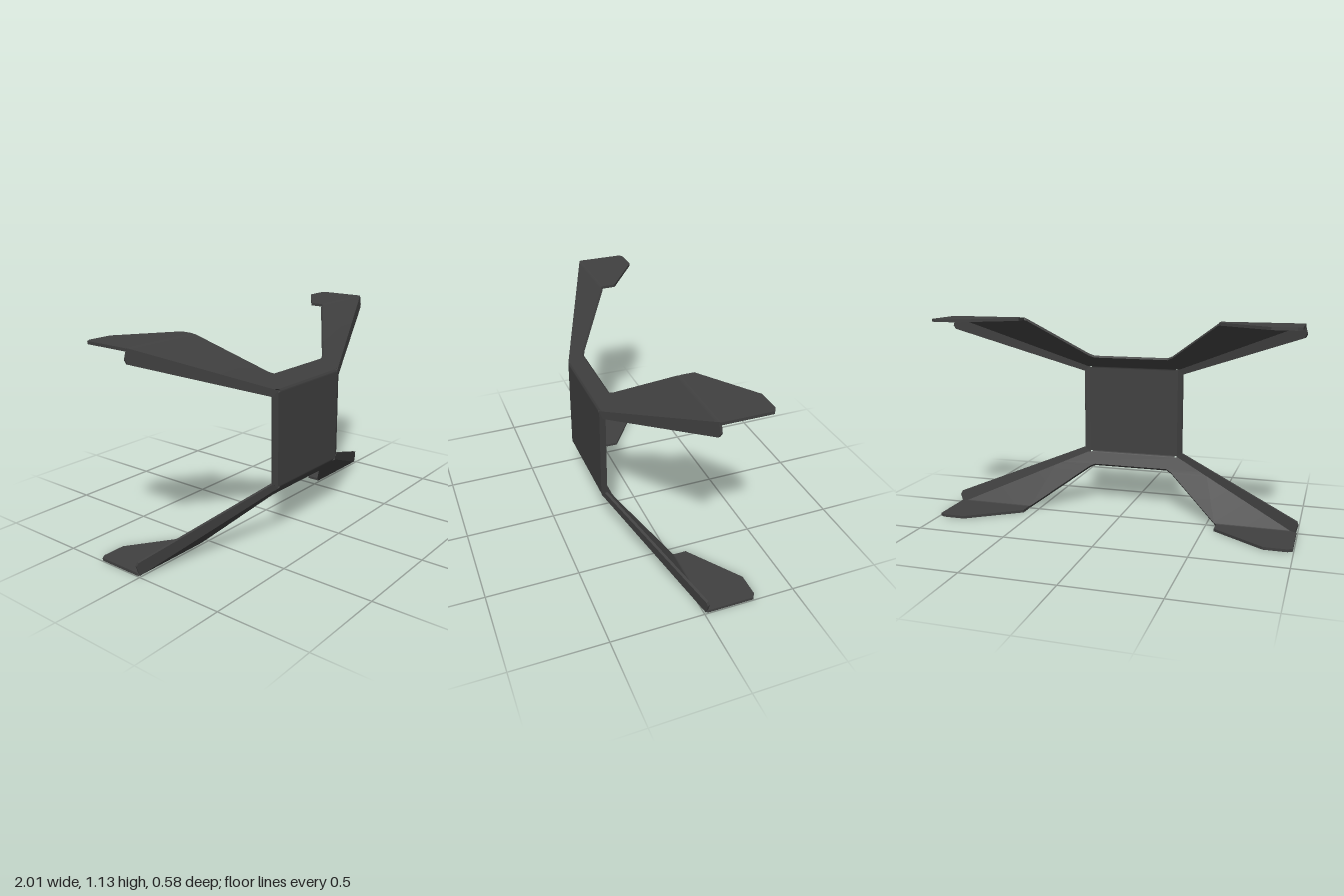
import * as THREE from 'three';
import { toCreasedNormals } from 'three/addons/utils/BufferGeometryUtils.js';

const T = 0.015;                 // sheet thickness
const R = 0.03;                  // bend radius
const CUT = R * Math.tan(Math.PI / 8);
const MID = 0.565;               // height of the centre line
const FRONT = 0.29;
const S1 = 0.265, S2 = S1 + 0.3 * Math.SQRT2, S3 = S2 + 0.28; // bends and end, along the sheet
const Q = Math.PI / 4;

// Outer surface of the bent sheet at distance s: y, z and tilt
function sheet(s) {
  const sign = Math.sign(s) || 1;
  s = Math.abs(s);
  let y = 0, z = FRONT, a = 0, from = 0;
  for (const bend of [S1, S2]) {
    const straight = Math.min(s, bend - CUT) - from;
    y += straight * Math.cos(a);
    z -= straight * Math.sin(a);
    if (s <= bend - CUT) return { y: sign * y, z, a, sign };
    const b = a + Q * Math.min(1, (s - bend + CUT) / (2 * CUT));
    y += R * (Math.sin(b) - Math.sin(a));
    z += R * (Math.cos(b) - Math.cos(a));
    a = b;
    from = bend + CUT;
    if (s <= from) return { y: sign * y, z, a, sign };
  }
  y += (s - from) * Math.cos(a);
  z -= (s - from) * Math.sin(a);
  return { y: sign * y, z, a, sign };
}

function lerpTable(table, s) {
  for (let i = 1; i < table.length; i++) {
    const [s0, x0] = table[i - 1], [s1, x1] = table[i];
    if (s <= s1) return x0 + (x1 - x0) * (s - s0) / (s1 - s0);
  }
  return table[table.length - 1][1];
}

// Solid strip of bent sheet between an inner and an outer edge
function bentStrip(inner, outer) {
  const start = outer[0][0], end = outer[outer.length - 1][0];
  const stops = [...inner, ...outer].map(p => p[0]);
  for (const bend of [-S1, S1, S2])
    for (let i = -3; i <= 3; i++) stops.push(bend + CUT * i / 3);
  const rows = [...new Set(stops)].filter(s => s >= start && s <= end).sort((a, b) => a - b);
  const sections = rows.map(s => {
    const p = sheet(s), xi = lerpTable(inner, s), xo = lerpTable(outer, s);
    const y2 = p.y - T * Math.sin(p.a) * p.sign, z2 = p.z - T * Math.cos(p.a);
    return [[xi, p.y, p.z], [xo, p.y, p.z], [xo, y2, z2], [xi, y2, z2]];
  });
  const pos = [];
  const quad = (a, b, c, d) => pos.push(...a, ...b, ...c, ...a, ...c, ...d);
  for (let i = 1; i < sections.length; i++) {
    const lo = sections[i - 1], hi = sections[i];
    for (let k = 0; k < 4; k++) {
      const n = (k + 1) % 4;
      quad(lo[k], lo[n], hi[n], hi[k]);
    }
  }
  const first = sections[0], last = sections[sections.length - 1];
  quad(first[3], first[2], first[1], first[0]);
  quad(last[0], last[1], last[2], last[3]);
  const g = new THREE.BufferGeometry();
  g.setAttribute('position', new THREE.Float32BufferAttribute(pos, 3));
  return toCreasedNormals(g, 0.5);
}

// Flat plate drawn in the plane of directions e and d, thickened along e x d
function plate(points, origin, e, d) {
  const shape = new THREE.Shape(points.map(p => new THREE.Vector2(...p)));
  const g = new THREE.ExtrudeGeometry(shape, { depth: T, bevelEnabled: false });
  const m = new THREE.Matrix4().makeBasis(e, d, e.clone().cross(d)).setPosition(origin);
  return g.applyMatrix4(m);
}

// Mirror left to right, keeping the faces outward
function mirrorX(geometry) {
  const g = geometry.index ? geometry.toNonIndexed() : geometry.clone();
  g.scale(-1, 1, 1);
  for (const name of ['position', 'normal']) {
    const at = g.attributes[name];
    for (let i = 0; i < at.count; i += 3)
      for (let c = 0; c < 3; c++) {
        const v = at.getComponent(i + 1, c);
        at.setComponent(i + 1, c, at.getComponent(i + 2, c));
        at.setComponent(i + 2, c, v);
      }
  }
  // the position scale also transforms normals, so rebuild them cleanly
  g.deleteAttribute('normal');
  return toCreasedNormals(g, 0.5);
}

export function createModel() {
  const model = new THREE.Group();
  model.name = 'bentSheetBracket';
  const metal = new THREE.MeshStandardMaterial({ color: 0x404040 });
  metal.name = 'darkMetal';
  const add = (name, g, half = 0) => {
    const mesh = new THREE.Mesh(g, metal);
    mesh.name = name;
    mesh.position.y = MID;
    mesh.rotation.z = half * Math.PI;
    model.add(mesh);
  };

  // Centre plate with sloping top and bottom, notched for the relief holes
  const EDGE = 0.272, TOP = 0.36, TIP = 0.99;
  const foldX = s => EDGE + (TIP - EDGE) * (s - S1) / (S2 - S1);
  const half = [[0.251, EDGE], [0.259, 0.254], [0.271, 0.254], [0.279, foldX(0.279)], [TOP, foldX(TOP)]];
  const edge = [...half.map(([s, x]) => [-s, x]).reverse(), ...half];
  add('centrePlate', bentStrip(edge.map(([s, x]) => [s, -x]), edge));

  // Arm that bends over into a flat foot
  const arm = bentStrip(
    [[TOP, 0.22], [0.378, 0.25], [S2, 0.56], [S2 + 0.08, 0.56], [S3, 0.845]],
    [[TOP, foldX(TOP)], [S2, TIP], [S2 + 0.01, 0.995], [S3 - 0.016, 0.995], [S3, 0.97]]);

  // Stiffening flange folded back 45 degrees along the arm's outer edge
  const start = new THREE.Vector3(EDGE, S1, FRONT);
  const along = new THREE.Vector3(TIP - EDGE, 0.3, -0.3);
  const length = along.length();
  along.normalize();
  const normal = new THREE.Vector3(0, Math.SQRT1_2, Math.SQRT1_2);
  const out = along.clone().cross(normal);
  const down = out.sub(normal).normalize();
  const flange = plate([[0, 0], [length, 0], [length - 0.006, 0.055], [length - 0.022, 0.07], [0.02, 0.04]],
    start, along, down);

  // Slightly folded side lip of the centre plate
  const lip = plate([[-S1, 0], [S1, 0], [0.235, 0.032], [-0.235, 0.032]],
    new THREE.Vector3(EDGE, 0, FRONT), new THREE.Vector3(0, 1, 0),
    new THREE.Vector3(Math.cos(0.36), 0, -Math.sin(0.36)));

  add('leftLip', lip);
  add('rightLip', lip, 1);
  const parts = { ArmAndFoot: arm, ArmFlange: flange };
  for (const [part, g] of Object.entries(parts)) {
    const mirrored = mirrorX(g);
    add('upperLeft' + part, g);
    add('upperRight' + part, mirrored);
    add('lowerRight' + part, g, 1);
    add('lowerLeft' + part, mirrored, 1);
  }
  return model;
}
